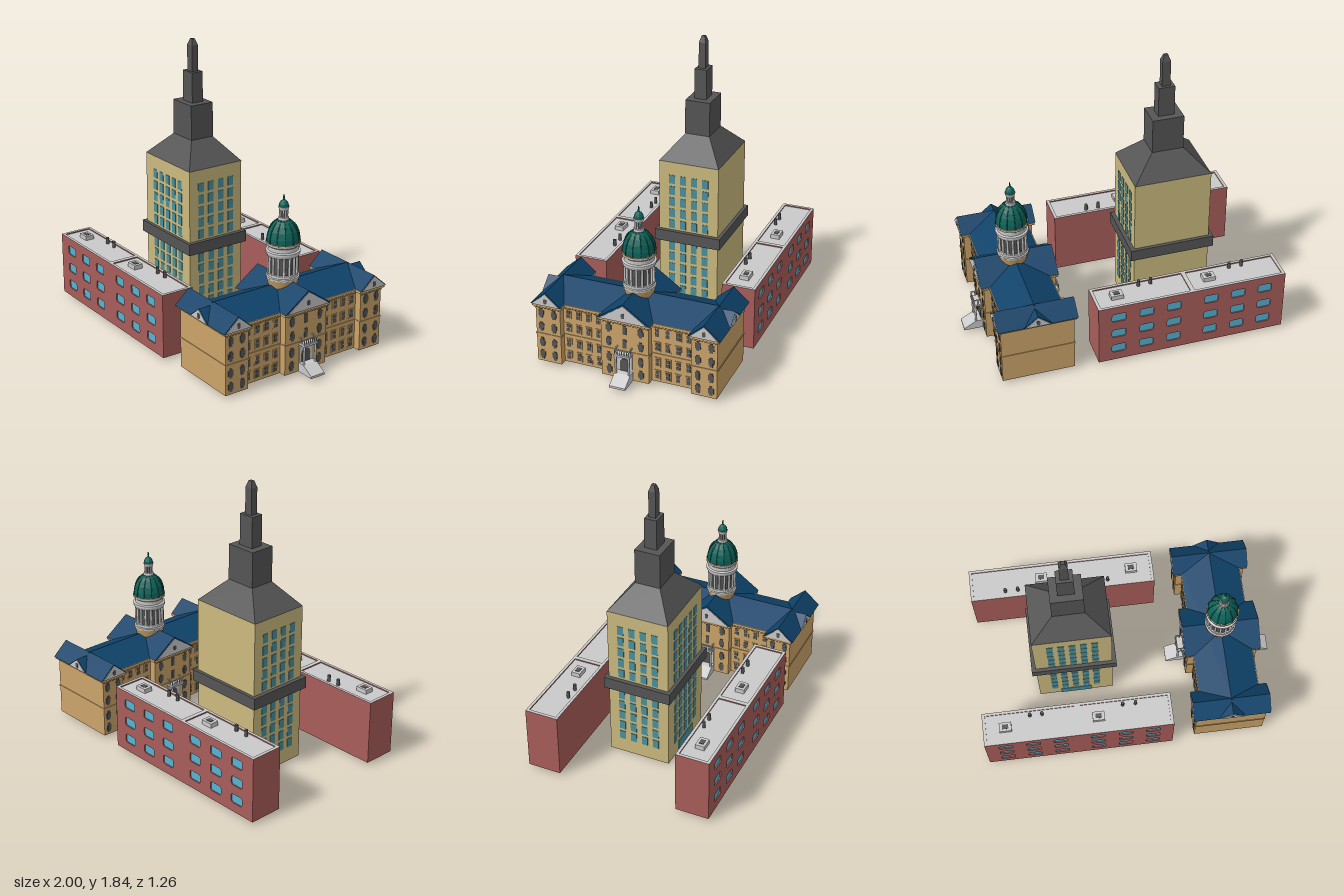
import * as THREE from 'three';

const paint = (name, color) => {
  const m = new THREE.MeshStandardMaterial({ color });
  m.name = name;
  return m;
};

export function createModel() {
  const red = paint('red brick', 0xa85e5a), sky = paint('sky glass', 0x55b4d2);
  const sand = paint('pale stone', 0xcbba7e), teal = paint('teal glass', 0x4a909c);
  const gold = paint('golden stone', 0xcca46a), dark = paint('dark grey', 0x555555);
  const light = paint('light grey', 0xcacaca), green = paint('copper green', 0x0d645a);
  const blue = paint('blue roof', 0x0e4269);

  const model = new THREE.Group();
  const add = (parent, name, geo, mat, x = 0, y = 0, z = 0) => {
    const m = new THREE.Mesh(geo, mat);
    m.name = name;
    m.position.set(x, y, z);
    parent.add(m);
    return m;
  };
  const group = (parent, name, x = 0, y = 0, z = 0, turn = 0) => {
    const g = new THREE.Group();
    g.name = name;
    g.position.set(x, y, z);
    g.rotation.y = turn;
    parent.add(g);
    return g;
  };
  // Box given by its low and high corners
  const block = (p, name, mat, x0, x1, y0, y1, z0, z1) =>
    add(p, name, new THREE.BoxGeometry(x1 - x0, y1 - y0, z1 - z0), mat, (x0 + x1) / 2, (y0 + y1) / 2, (z0 + z1) / 2);
  const rod = (p, name, mat, r0, r1, y0, y1, x = 0, z = 0, n = 16) =>
    add(p, name, new THREE.CylinderGeometry(r1, r0, y1 - y0, n), mat, x, (y0 + y1) / 2, z);
  const extrude = (shape, depth) => new THREE.ExtrudeGeometry(shape, { depth, bevelEnabled: false, curveSegments: 6 });
  const polygon = (pts) => new THREE.Shape(pts.map(([x, y]) => new THREE.Vector2(x, y)));
  const rounded = (Kind, cx, cy, w, h, r) => {
    const s = new Kind(), a = cx - w / 2, b = cx + w / 2, c = cy - h / 2, d = cy + h / 2;
    s.moveTo(a + r, c); s.lineTo(b - r, c); s.quadraticCurveTo(b, c, b, c + r);
    s.lineTo(b, d - r); s.quadraticCurveTo(b, d, b - r, d);
    s.lineTo(a + r, d); s.quadraticCurveTo(a, d, a, d - r);
    s.lineTo(a, c + r); s.quadraticCurveTo(a, c, a + r, c);
    return s;
  };

  // ---- Red brick blocks ----
  const W = 0.626, D = 0.11;
  const brickBlock = (name, z, turn) => {
    const g = group(model, name, -0.374, 0, z, turn);
    block(g, 'brickWalls', red, -W, W, 0.02, 0.435, -D, D - 0.012);
    const wall = polygon([[-W, 0.02], [W, 0.02], [W, 0.435], [-W, 0.435]]);
    for (const x of [-0.492, -0.308, -0.126, 0.123, 0.307, 0.489])
      for (const y of [0.11, 0.232, 0.358]) {
        wall.holes.push(rounded(THREE.Path, x, y, 0.092, 0.06, 0.016));
        block(g, 'windowPane', sky, x - 0.05, x + 0.05, y - 0.034, y + 0.034, D - 0.013, D - 0.008);
      }
    add(g, 'windowWall', extrude(wall, 0.012), red, 0, 0, D - 0.012);
    // Parapet around two sunken roof panels
    const rim = polygon([[-W, -D], [W, -D], [W, D], [-W, D]]);
    for (const s of [-1, 1])
      rim.holes.push(new THREE.Path([[0.014, -0.092], [0.606, -0.092], [0.606, 0.092], [0.014, 0.092]]
        .map(([x, y]) => new THREE.Vector2(s * x, y))));
    add(g, 'parapet', extrude(rim, 0.011), [light, red], 0, 0.434, 0).rotation.x = -Math.PI / 2;
    block(g, 'roofPanel', light, -0.615, 0.615, 0.433, 0.437, -0.1, 0.1);
    for (const x of [-0.477, 0.138]) {
      block(g, 'roofHatch', light, x - 0.04, x + 0.04, 0.435, 0.466, -0.03, 0.03);
      block(g, 'hatchGrille', dark, x - 0.02, x + 0.02, 0.464, 0.469, -0.015, 0.015);
    }
    for (const x of [-0.31, -0.23, 0.304, 0.389]) rod(g, 'roofVent', dark, 0.011, 0.011, 0.435, 0.48, x, -0.063, 8);
  };
  brickBlock('frontBrickBlock', 0.51, 0);
  brickBlock('backBrickBlock', -0.507, Math.PI);

  // ---- Tower ----
  const tower = group(model, 'tower', -0.358, 0, -0.03);
  const tx = 0.253, tz = 0.204;
  block(tower, 'shaft', sand, -tx, tx, 0, 1.05, -tz, tz);
  block(tower, 'belt', dark, -0.28, 0.28, 0.49, 0.567, -0.226, 0.226);
  // Tapered box: square four-sided cylinder scaled to the base size
  const frustum = (name, hx, hz, k, y0, y1) => {
    const geo = new THREE.CylinderGeometry(k * Math.SQRT2, Math.SQRT2, y1 - y0, 4, 1).toNonIndexed();
    geo.rotateY(Math.PI / 4);
    geo.scale(hx, 1, hz);
    geo.computeVertexNormals();
    add(tower, name, geo, dark, 0, (y0 + y1) / 2, 0);
  };
  frustum('slopingRoof', tx, tz, 0.405, 1.05, 1.2);
  frustum('lowerSpire', 0.103, 0.084, 1, 1.2, 1.43);
  frustum('middleSpire', 0.053, 0.041, 1, 1.43, 1.63);
  frustum('upperSpire', 0.027, 0.023, 1, 1.63, 1.8);
  frustum('spireTip', 0.027, 0.023, 0.45, 1.8, 1.84);
  for (const y of [0.13, 0.21, 0.29, 0.37, 0.446, 0.61, 0.69, 0.77, 0.85, 0.93]) {
    for (let i = -2; i <= 2; i++)
      block(tower, 'frontWindow', teal, i * 0.072 - 0.021, i * 0.072 + 0.021, y - 0.03, y + 0.03, tz - 0.003, tz + 0.003);
    for (const s of [-1, 1])
      for (let i = -1.5; i < 2; i++)
        add(tower, 'sideWindow', new THREE.BoxGeometry(0.006, 0.06, 0.041), teal, s * tx, y, i * 0.077);
  }
  block(tower, 'towerEntrance', teal, -0.105, 0.105, 0.002, 0.075, tz - 0.003, tz + 0.004);

  // ---- Domed hall ----
  const hall = group(model, 'domedHall', 0.64, 0, -0.005);
  // Walls with a string course, cornice and row of small brackets
  const wing = (name, hx, z0, z1) => {
    block(hall, name + 'Walls', gold, -hx, hx, 0.02, 0.415, z0, z1);
    block(hall, name + 'StringCourse', gold, -hx - 0.004, hx + 0.004, 0.21, 0.22, z0 - 0.004, z1 + 0.004);
    block(hall, name + 'Cornice', gold, -hx - 0.016, hx + 0.016, 0.415, 0.432, z0 - 0.016, z1 + 0.016);
    for (const s of [-1, 1])
      for (let z = z0 + 0.008; z < z1; z += 0.022)
        add(hall, 'bracket', new THREE.BoxGeometry(0.012, 0.012, 0.01), gold, s * (hx + 0.006), 0.409, z);
  };
  wing('link', 0.187, -0.45, 0.45);
  wing('centre', 0.235, -0.157, 0.157);
  wing('frontPavilion', 0.235, 0.432, 0.597);
  wing('backPavilion', 0.235, -0.597, -0.432);

  // Gabled roof running along z, with a pediment on each end if asked
  const gable = (name, half, rise, len, turn, x, z, pediment = true) => {
    const g = group(hall, name, x, 0.43, z, turn);
    const tri = (k) => polygon([[-half * k, 0], [half * k, 0], [0, rise * k]]);
    add(g, 'gableRoof', extrude(tri(1), len), blue, 0, 0, -len / 2);
    if (!pediment) return;
    for (const s of [0, 1]) {
      const end = group(g, 'pediment', 0, 0, 0, s * Math.PI);
      add(end, 'pedimentFace', extrude(tri(0.9), 0.006), light, 0, 0.001, len / 2 - 0.002);
      add(end, 'pedimentWindow', extrude(rounded(THREE.Shape, 0, rise * 0.36, 0.022, 0.034, 0.01), 0.004), dark, 0, 0, len / 2 + 0.002);
    }
  };
  const Q = Math.PI / 2;
  gable('mainRoof', 0.203, 0.09, 1.05, 0, 0, 0, false);
  gable('centreRoof', 0.174, 0.122, 0.51, Q, 0, 0);
  for (const s of [-1, 1]) {
    gable('pavilionRoof', 0.103, 0.091, 0.51, Q, 0, s * 0.519);
    gable('endDormer', 0.09, 0.073, 0.1, 0, 0, s * 0.572);
  }

  // Both long sides share the same windows and porch
  for (const turn of [0, Math.PI]) {
    const side = group(hall, 'longSide', 0, 0, 0, turn);
    for (const y of [0.07, 0.159, 0.268, 0.364])
      for (const s of [-1, 1]) {
        for (const z of [0.105, 0.475, 0.56]) {
          add(side, 'tallWindow', new THREE.BoxGeometry(0.008, 0.062, 0.02), dark, 0.235, y, s * z);
          add(side, 'windowBand', new THREE.BoxGeometry(0.006, 0.036, 0.036), dark, 0.235, y, s * z);
        }
        for (const z of [0.195, 0.263, 0.331, 0.399]) {
          add(side, 'windowFrame', new THREE.BoxGeometry(0.008, 0.066, 0.042), gold, 0.187, y, s * z);
          for (const t of [-1, 1])
            add(side, 'linkPane', new THREE.BoxGeometry(0.004, 0.022, 0.026), dark, 0.191, y + t * 0.014, s * z);
        }
      }
    for (const y of [0.268, 0.364]) add(side, 'tallWindow', new THREE.BoxGeometry(0.008, 0.06, 0.024), dark, 0.235, y, 0);

    // Porch: steps, arched door, columns and railed balcony
    const steps = polygon([[0.23, 0.02], [0.36, 0.02], [0.36, 0.034], [0.28, 0.08], [0.23, 0.08]]);
    add(side, 'steps', extrude(steps, 0.104), light, 0, 0, -0.052);
    add(side, 'doorSurround', new THREE.BoxGeometry(0.008, 0.125, 0.098), light, 0.236, 0.142, 0);
    const arch = polygon([[-0.032, 0.075], [0.032, 0.075], [0.032, 0.135]]);
    arch.absarc(0, 0.135, 0.032, 0, Math.PI, false);
    add(side, 'archedDoor', extrude(arch, 0.004), dark, 0.239, 0, 0).rotation.y = Q;
    block(side, 'balcony', light, 0.23, 0.288, 0.2, 0.213, -0.052, 0.052);
    block(side, 'frontRail', light, 0.28, 0.286, 0.243, 0.25, -0.05, 0.05);
    for (const s of [-1, 1]) {
      rod(side, 'porchColumn', light, 0.007, 0.007, 0.078, 0.2, 0.277, s * 0.043, 10);
      add(side, 'sideRail', new THREE.BoxGeometry(0.05, 0.007, 0.006), light, 0.26, 0.2465, s * 0.047);
      add(side, 'railPost', new THREE.BoxGeometry(0.005, 0.034, 0.005), light, 0.258, 0.228, s * 0.047);
    }
    for (let i = -3; i <= 3; i++) rod(side, 'baluster', light, 0.003, 0.003, 0.21, 0.246, 0.283, i * 0.0155, 6);
  }

  // Drum, dome and lantern
  const dome = group(hall, 'dome');
  const lathe = (name, mat, pts, n, flat) => {
    let geo = new THREE.LatheGeometry(pts.map(([r, y]) => new THREE.Vector2(r, y)), n);
    if (flat) { geo = geo.toNonIndexed(); geo.computeVertexNormals(); }
    return add(dome, name, geo, mat);
  };
  rod(dome, 'drumFoot', gold, 0.075, 0.104, 0.46, 0.56, 0, 0, 16);
  lathe('drumBase', light, [[0, 0.555], [0.103, 0.555], [0.103, 0.568], [0.095, 0.572], [0.095, 0.59], [0, 0.59]], 24, true);
  rod(dome, 'drumCore', dark, 0.084, 0.084, 0.58, 0.73, 0, 0, 24);
  for (let i = 0; i < 16; i++) {
    const a = (i + 0.5) * Math.PI / 8;
    rod(dome, 'drumColumn', light, 0.008, 0.008, 0.585, 0.72, 0.09 * Math.sin(a), 0.09 * Math.cos(a), 8);
    const b = add(dome, 'drumBracket', new THREE.BoxGeometry(0.014, 0.014, 0.014), gold, 0.1 * Math.sin(a), 0.787, 0.1 * Math.cos(a));
    b.rotation.y = a;
  }
  lathe('drumTop', light, [[0, 0.705], [0.1, 0.705], [0.107, 0.722], [0.107, 0.735], [0.094, 0.74], [0.094, 0.765],
    [0.106, 0.775], [0.106, 0.788], [0, 0.79]], 24, true);
  lathe('domeShell', green, [[0.102, 0.785], [0.1, 0.822], [0.09, 0.862], [0.072, 0.896], [0.05, 0.92], [0.032, 0.93], [0, 0.93]], 12, true);
  for (let i = 0; i < 12; i++) {
    const ribs = new THREE.CatmullRomCurve3([[0.102, 0.79], [0.1, 0.822], [0.09, 0.862], [0.072, 0.896], [0.036, 0.928]]
      .map(([r, y]) => new THREE.Vector3(0, y, r)));
    add(dome, 'domeRib', new THREE.TubeGeometry(ribs, 8, 0.0035, 5), green).rotation.y = i * Math.PI / 6;
  }
  rod(dome, 'lanternBase', light, 0.034, 0.032, 0.925, 0.945);
  rod(dome, 'lanternCore', dark, 0.018, 0.018, 0.94, 1.0, 0, 0, 12);
  for (let i = 0; i < 8; i++) {
    const a = i * Math.PI / 4;
    rod(dome, 'lanternColumn', light, 0.006, 0.006, 0.94, 1.0, 0.022 * Math.sin(a), 0.022 * Math.cos(a), 6);
  }
  rod(dome, 'lanternTop', light, 0.028, 0.034, 0.99, 1.012);
  lathe('lanternCap', green, [[0.031, 1.01], [0.029, 1.028], [0.02, 1.045], [0.006, 1.055], [0.004, 1.085], [0, 1.09]], 12, true);

  return model;
}
